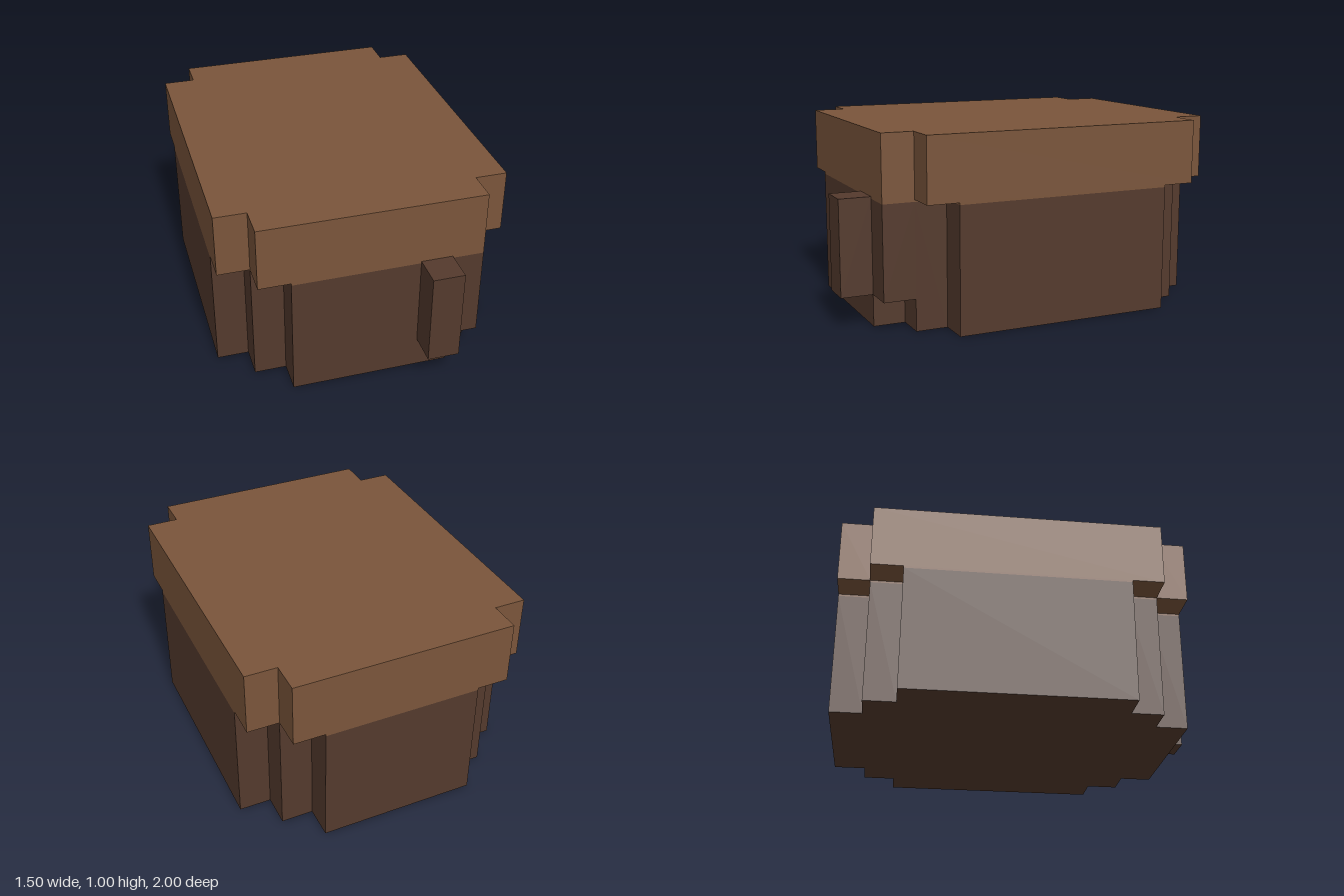
import * as THREE from 'three';

const U = 1 / 6;          // size of one block step
const CENTER_Z = -U / 2;  // the chest sits slightly back, the latch reaches forward
const SEAM = 0.656;       // where the lid colour begins on flush faces

// Rectangle outline whose corners are cut into square steps
function steppedOutline(hx, hz, steps) {
  const corner = [];
  for (let i = 0; i <= steps; i++) {
    corner.push([hx - i * U, hz - (steps - i) * U]);
    if (i < steps) corner.push([hx - (i + 1) * U, hz - (steps - i) * U]);
  }
  const back = [...corner].reverse();
  const points = [
    ...corner,
    ...back.map(([x, z]) => [-x, z]),
    ...corner.map(([x, z]) => [-x, -z]),
    ...back.map(([x, z]) => [x, -z]),
  ];
  return new THREE.Shape(points.map(([x, z]) => new THREE.Vector2(x, z)));
}

function steppedPrism(name, steps, y0, y1, material) {
  const geometry = new THREE.ExtrudeGeometry(steppedOutline(4.5 * U, 5.5 * U, steps), {
    depth: y1 - y0,
    bevelEnabled: false,
  });
  geometry.rotateX(-Math.PI / 2);
  geometry.translate(0, y0, CENTER_Z);
  const mesh = new THREE.Mesh(geometry, material);
  mesh.name = name;
  return mesh;
}

function block(name, x0, x1, y0, y1, z0, z1, material) {
  const mesh = new THREE.Mesh(new THREE.BoxGeometry(x1 - x0, y1 - y0, z1 - z0), material);
  mesh.position.set((x0 + x1) / 2, (y0 + y1) / 2, (z0 + z1) / 2);
  mesh.name = name;
  return mesh;
}

export function createModel() {
  const lidBrown = new THREE.MeshStandardMaterial({ color: 0x7a553b });
  lidBrown.name = 'lid brown';
  const bodyBrown = new THREE.MeshStandardMaterial({ color: 0x543a2d });
  bodyBrown.name = 'body brown';

  const model = new THREE.Group();
  model.name = 'chest';

  // Body with double-stepped corners, and the lid with single-stepped corners
  model.add(steppedPrism('body', 2, 0, SEAM, bodyBrown));
  model.add(steppedPrism('lidRim', 2, SEAM, 4 * U, lidBrown));
  model.add(steppedPrism('lid', 1, 4 * U, 1, lidBrown));

  // Latch bar on the front and its mount filling the corner step beside it
  model.add(block('latch', 1.5 * U, 2.5 * U, U, 4 * U, 5 * U, 1, bodyBrown));
  model.add(block('latchMount', 2.5 * U, 3.5 * U, U, SEAM, 4 * U, 5 * U, bodyBrown));
  model.add(block('latchMountRim', 2.5 * U, 3.5 * U, SEAM, 4 * U, 4 * U, 5 * U, lidBrown));

  return model;
}
